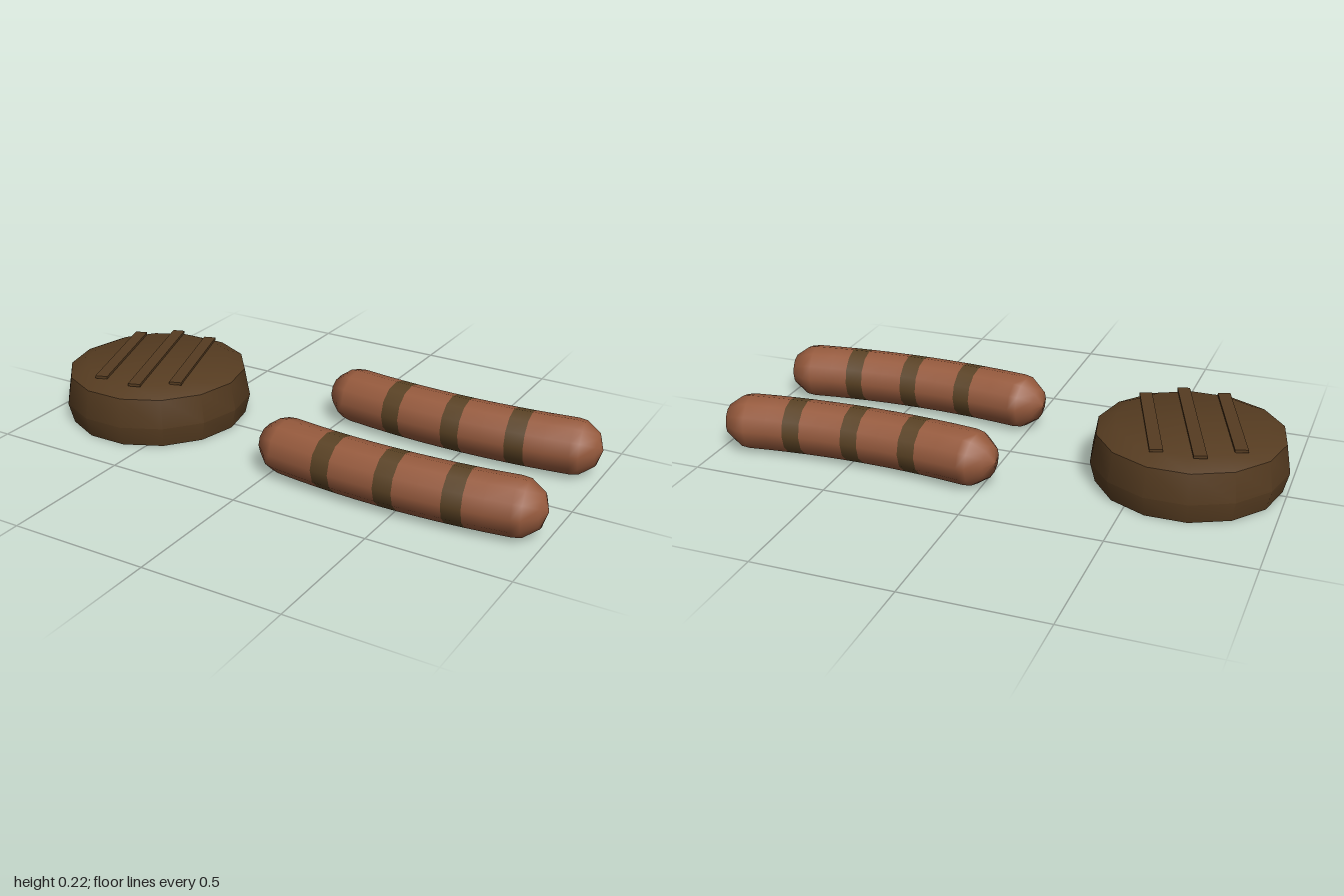
import * as THREE from 'three';
import { toCreasedNormals } from 'three/addons/utils/BufferGeometryUtils.js';

const SIDES = 12, RADIUS = 0.1, MID_X = 0.472, HALF = 0.425, BOW = 0.0325;

// Bowed sausage lofted from rings along x; group 0 is skin, group 1 is the grill bands.
function sausageGeometry() {
  const bands = [-0.222, 0.009, 0.24].map(c => [c - 0.033, c + 0.033]);
  const stations = [-HALF, -0.34, ...bands[0], -0.11, ...bands[1], 0.125, ...bands[2], 0.34, HALF];
  const rings = stations.map(x => ({ x, off: 0, r: RADIUS }));
  // rounded ends
  for (const deg of [72, 36, 0]) {
    const a = THREE.MathUtils.degToRad(deg);
    const off = RADIUS * Math.cos(a), r = RADIUS * Math.sin(a);
    rings.unshift({ x: -HALF, off: -off, r });
    rings.push({ x: HALF, off, r });
  }
  const positions = [], index = [];
  for (const { x, off, r } of rings) {
    const slope = -2 * BOW * x / (HALF * HALF), len = Math.hypot(1, slope);
    const tx = 1 / len, tz = slope / len;
    for (let j = 0; j < SIDES; j++) {
      const a = j / SIDES * Math.PI * 2, n = r * Math.sin(a);
      positions.push(x + tx * off - tz * n, r * Math.cos(a), -BOW * (x / HALF) ** 2 + tz * off + tx * n);
    }
  }
  const geometry = new THREE.BufferGeometry();
  for (let i = 0; i < rings.length - 1; i++) {
    const mid = (rings[i].x + rings[i + 1].x) / 2;
    const banded = bands.some(([lo, hi]) => mid > lo && mid < hi);
    geometry.addGroup(index.length, SIDES * 6, banded ? 1 : 0);
    for (let j = 0; j < SIDES; j++) {
      const a = i * SIDES + j, b = i * SIDES + (j + 1) % SIDES;
      index.push(a, b, a + SIDES, b, b + SIDES, a + SIDES);
    }
  }
  geometry.setAttribute('position', new THREE.Float32BufferAttribute(positions, 3));
  geometry.setIndex(index);
  geometry.computeVertexNormals();
  return geometry;
}

export function createModel() {
  const model = new THREE.Group();
  const material = (name, color) => Object.assign(new THREE.MeshStandardMaterial({ color }), { name });
  const skin = material('sausage skin', 0x965a3d);
  const char = material('grill band', 0x5a4224);
  const meat = material('patty meat', 0x563c21);
  const add = (parent, name, geometry, mat, x, y, z) => {
    const mesh = new THREE.Mesh(geometry, mat);
    mesh.name = name;
    mesh.position.set(x, y, z);
    parent.add(mesh);
    return mesh;
  };

  // Patty with bevelled rim
  const patty = new THREE.Group();
  patty.name = 'patty';
  patty.position.set(-0.652, 0, 0.029);
  model.add(patty);
  const profile = [[0, 0], [0.33, 0], [0.349, 0.075], [0.331, 0.18], [0.265, 0.21], [0, 0.21]]
    .map(([r, y]) => new THREE.Vector2(r, y));
  const body = new THREE.LatheGeometry(profile, 14, Math.PI / 2);
  add(patty, 'pattyBody', toCreasedNormals(body, 0.6), meat, 0, 0, 0);

  // Slanted grill marks on top
  const slant = 0.331;
  for (const [offset, length] of [[-0.14, 0.46], [0, 0.55], [0.14, 0.46]]) {
    const mark = add(patty, 'grillMark', new THREE.BoxGeometry(0.045, 0.01, length), meat,
      offset * Math.cos(slant), 0.214, -offset * Math.sin(slant));
    mark.rotation.y = slant;
  }

  // Two sausages
  const sausage = sausageGeometry();
  add(model, 'frontSausage', sausage, [skin, char], MID_X, 0.1, 0.262);
  add(model, 'backSausage', sausage, [skin, char], MID_X, 0.1, -0.242);
  return model;
}
